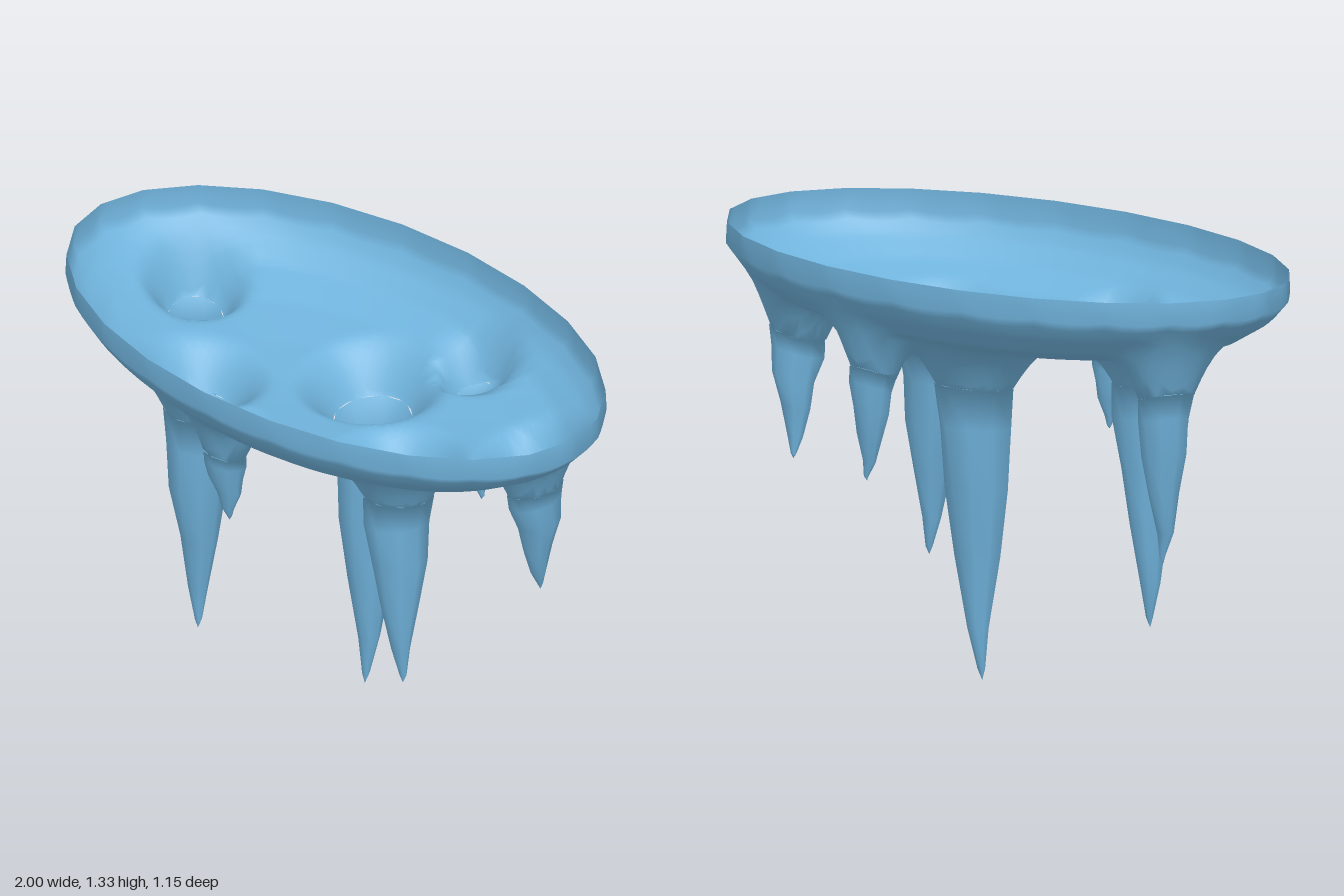
import * as THREE from 'three';

const ice = new THREE.MeshStandardMaterial({ color: 0x70b3dc, side: THREE.DoubleSide });
ice.name = 'ice blue';

const DEPTH = 0.575; // half depth of the oval, its half width being 1
// [base x, base z, radius, tip x, tip y, tip z]
const ICICLES = [
  [-0.72, -0.13, 0.085, -0.70, 0.465, -0.12],
  [-0.39, 0.195, 0.11, -0.40, 0.165, 0.19],
  [0.005, -0.155, 0.12, 0.0, 0.0, -0.125],
  [0.38, 0.12, 0.107, 0.41, 0.285, 0.13],
  [0.70, -0.145, 0.085, 0.69, 0.6, -0.18],
  [-0.135, 0.345, 0.065, -0.13, 0.72, 0.33],
  [0.21, -0.39, 0.07, 0.235, 0.635, -0.39],
];
// dish height by distance from the middle
const PROFILE = [[0, 1.04], [0.4, 1.06], [0.65, 1.09], [0.83, 1.135], [0.94, 1.2], [1, 1.265], [1.1, 1.265]];

let seed = 11;
const rnd = () => (seed = (seed * 16807) % 2147483647) / 2147483647 * 2 - 1;

function heightAt(x, z) {
  const s = Math.hypot(x, z / DEPTH);
  const k = Math.max(1, PROFILE.findIndex((p) => p[0] >= s));
  const [a, b] = [PROFILE[k - 1], PROFILE[k]];
  let y = a[1] + (b[1] - a[1]) * (s - a[0]) / (b[0] - a[0]);
  // the dish sags toward each icicle
  let drop = 0;
  for (const [cx, cz, r] of ICICLES) {
    const t = Math.min(1, (2.1 * r - Math.hypot(x - cx, z - cz)) / (1.1 * r));
    if (t > 0) drop = Math.max(drop, 0.13 * Math.pow(t, 1.7));
  }
  return y - drop;
}

// skin over closed rings of points { p, seam, n }
function loft(name, rings) {
  const n = rings[0].length;
  const all = rings.flat();
  const index = [];
  const tri = (...t) => {
    const hole = all[t[0]].seam;
    if (hole === undefined || t.some((i) => all[i].seam !== hole)) index.push(...t);
  };
  for (let i = 0; i < rings.length - 1; i++) {
    for (let j = 0; j < n; j++) {
      const a = i * n + j, b = i * n + (j + 1) % n;
      tri(a, b, a + n);
      tri(b, b + n, a + n);
    }
  }
  const g = new THREE.BufferGeometry();
  g.setAttribute('position', new THREE.Float32BufferAttribute(all.flatMap((v) => v.p), 3));
  g.setIndex(index);
  g.computeVertexNormals();
  // shared normals where icicles meet the dish
  all.forEach((v, i) => v.n && g.attributes.normal.setXYZ(i, ...v.n));
  const mesh = new THREE.Mesh(g, ice);
  mesh.name = name;
  return mesh;
}

const seamNormal = (a) => [0.8 * Math.cos(a), -0.6, 0.8 * Math.sin(a)];

// open oval dish with a round hole over each icicle
function makeDish() {
  const sides = 24, sub = 4, rows = 44;
  const rings = [];
  for (let i = -1; i < rows; i++) {
    const s = i < 0 ? 0.996 : Math.max(0.002, 1 - i / (rows - 1));
    const ring = [];
    for (let j = 0; j < sides * sub; j++) {
      const a = Math.floor(j / sub) / sides * Math.PI * 2, b = a + Math.PI * 2 / sides;
      const f = (j % sub) / sub;
      let x = s * (Math.cos(a) * (1 - f) + Math.cos(b) * f);
      let z = s * DEPTH * (Math.sin(a) * (1 - f) + Math.sin(b) * f);
      const v = {};
      ICICLES.forEach(([cx, cz, r], k) => {
        if (Math.hypot(x - cx, z - cz) >= r) return;
        const ang = Math.atan2(z - cz, x - cx);
        x = cx + r * Math.cos(ang);
        z = cz + r * Math.sin(ang);
        v.seam = k;
        v.n = seamNormal(ang);
      });
      v.p = [x, i < 0 ? 1.33 : heightAt(x, z), z];
      ring.push(v);
    }
    rings.push(ring);
  }
  return loft('dish', rings);
}

// hollow, slightly uneven spike
function makeIcicle([bx, bz, r, tx, ty, tz], k) {
  const sides = 9;
  const taper = [[0, 1.03], [0.14, 0.94], [0.35, 0.8], [0.58, 0.56], [0.82, 0.29], [0.96, 0.1], [1, 0]];
  const rings = taper.map(([f, w], i) => {
    const wob = i === 0 || w === 0 ? 0 : 0.07;
    const ox = rnd() * wob * r, oz = rnd() * wob * r;
    return Array.from({ length: sides }, (_, j) => {
      const a = j / sides * Math.PI * 2;
      const rad = r * w * (1 + rnd() * wob);
      const x = bx + (tx - bx) * f + ox + rad * Math.cos(a);
      const z = bz + (tz - bz) * f + oz + rad * Math.sin(a);
      const top = heightAt(bx + r * Math.cos(a), bz + r * Math.sin(a));
      const v = { p: [x, top + (ty - top) * f, z] };
      if (i === 0) v.n = seamNormal(a);
      return v;
    });
  });
  return loft('icicle' + (k + 1), rings);
}

export function createModel() {
  const group = new THREE.Group();
  group.name = 'icicleCluster';
  group.add(makeDish());
  ICICLES.forEach((d, k) => group.add(makeIcicle(d, k)));
  return group;
}
